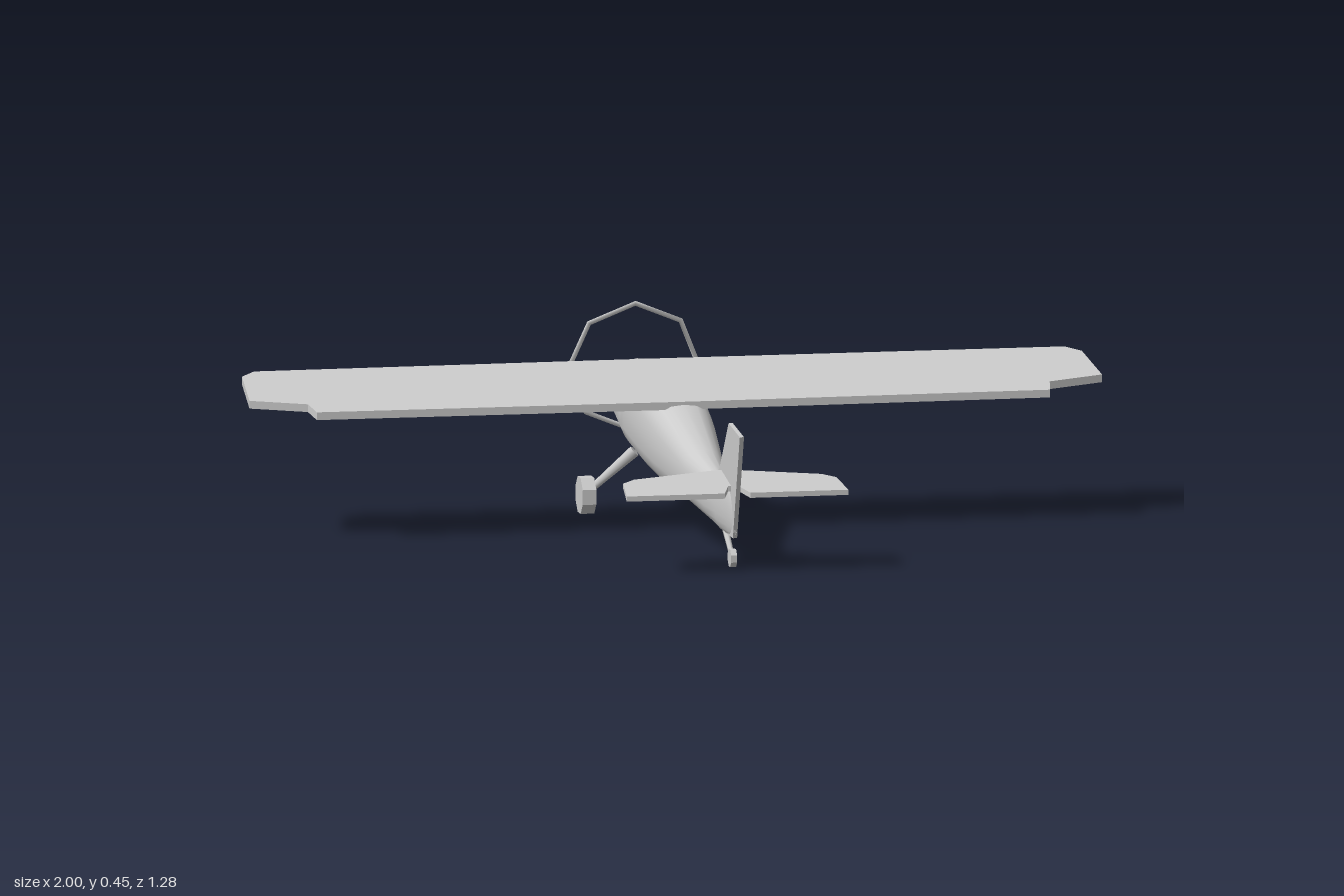
import * as THREE from 'three';

const grey = new THREE.MeshStandardMaterial({ color: 0xcccccc, side: THREE.DoubleSide });
const V = (x, y, z) => new THREE.Vector3(x, y, z);

function add(parent, name, geometry) {
  const mesh = new THREE.Mesh(geometry, grey);
  mesh.name = name;
  parent.add(mesh);
  return mesh;
}

// Smooth skin through superellipse sections [z, top, bottom, halfWidth, exponent]
function loft(sections, n = 20) {
  const pos = [], index = [];
  for (const [z, top, bottom, w, e] of sections) {
    for (let j = 0; j < n; j++) {
      const a = (j / n) * Math.PI * 2, c = Math.cos(a), s = Math.sin(a);
      pos.push(
        w * Math.sign(c) * Math.abs(c) ** (2 / e),
        (top + bottom) / 2 + ((top - bottom) / 2) * Math.sign(s) * Math.abs(s) ** (2 / e),
        z);
    }
  }
  for (let i = 0; i < sections.length - 1; i++) {
    for (let j = 0; j < n; j++) {
      const k = (j + 1) % n, a = i * n + j, b = i * n + k;
      index.push(a, b, a + n, b, b + n, a + n);
    }
  }
  const g = new THREE.BufferGeometry();
  g.setAttribute('position', new THREE.Float32BufferAttribute(pos, 3));
  g.setIndex(index);
  g.computeVertexNormals();
  return g;
}

function plate(points, thickness) {
  const shape = new THREE.Shape(points.map(([x, y]) => new THREE.Vector2(x, y)));
  return new THREE.ExtrudeGeometry(shape, { depth: thickness, bevelEnabled: false });
}

// Mirrored horizontal surface from half outline [x, z], sloping down toward the tail
function surface(half, thickness, heightAt) {
  const outline = [...half, ...half.slice().reverse().map(([x, z]) => [-x, z])]
    .filter(([x, z], i, all) => i === 0 || x !== 0 || all[i - 1][0] !== 0);
  const g = plate(outline, thickness);
  g.rotateX(Math.PI / 2).translate(0, thickness / 2, 0);
  const p = g.attributes.position;
  for (let i = 0; i < p.count; i++) p.setY(i, p.getY(i) + heightAt(p.getZ(i)));
  g.computeVertexNormals();
  return g;
}

// Tapered strut between two points
function strut(parent, name, a, b, rA, rB, sides = 6) {
  const d = b.clone().sub(a);
  const mesh = add(parent, name, new THREE.CylinderGeometry(rB, rA, d.length(), sides));
  mesh.position.copy(a).add(b).multiplyScalar(0.5);
  mesh.quaternion.setFromUnitVectors(V(0, 1, 0), d.normalize());
  return mesh;
}

function wheel(parent, name, x, y, z, r, width) {
  const g = new THREE.CylinderGeometry(r, r, width, 8).toNonIndexed();
  g.rotateX(0).rotateZ(Math.PI / 2).rotateX(Math.PI / 8);
  g.computeVertexNormals();
  add(parent, name, g).position.set(x, y, z);
}

export function createModel() {
  const plane = new THREE.Group();
  plane.name = 'airplane';

  // Body, from the cowl at -z to the tail post at +z
  add(plane, 'fuselage', loft([
    [-0.588, 0.306, 0.298, 0.004, 2],
    [-0.585, 0.322, 0.26, 0.05, 2.2],
    [-0.565, 0.328, 0.225, 0.068, 2.3],
    [-0.54, 0.328, 0.205, 0.074, 2.4],
    [-0.47, 0.325, 0.175, 0.078, 2.5],
    [-0.37, 0.317, 0.152, 0.083, 2.6],
    [-0.31, 0.362, 0.143, 0.087, 2.8],
    [-0.18, 0.335, 0.129, 0.084, 2.8],
    [-0.03, 0.301, 0.114, 0.075, 2.6],
    [0.2, 0.232, 0.103, 0.05, 2.4],
    [0.35, 0.204, 0.09, 0.033, 2.3],
    [0.43, 0.21, 0.08, 0.022, 2.2],
    [0.52, 0.195, 0.078, 0.012, 2],
    [0.57, 0.15, 0.09, 0.002, 2],
  ]));

  // Main wing
  add(plane, 'wing', surface([
    [0, -0.322], [0.95, -0.318], [0.985, -0.286], [1, -0.125],
    [0.87, -0.09], [0.86, -0.035], [0, -0.03],
  ], 0.018, (z) => 0.299 + (-0.03 - z) * 0.195));

  // Tail surfaces
  add(plane, 'tailplane', surface([
    [0, 0.425], [0.03, 0.43], [0.22, 0.475], [0.25, 0.5], [0.26, 0.59],
    [0.03, 0.59], [0.012, 0.54], [0, 0.54],
  ], 0.012, (z) => 0.214 - (z - 0.42) * 0.18));
  const fin = plate([
    [0.35, 0.195], [0.405, 0.22], [0.51, 0.34], [0.64, 0.327], [0.56, 0.08], [0.45, 0.08],
  ], 0.01);
  fin.rotateY(-Math.PI / 2).translate(0.005, 0, 0);
  add(plane, 'fin', fin);

  // Spinner and flat octagonal propeller ring, tilted with the nose
  strut(plane, 'spinner', V(0, 0.304, -0.57), V(0, 0.302, -0.635), 0.024, 0.009, 10);
  const ring = add(plane, 'propellerRing', new THREE.TorusGeometry(0.152, 0.006, 4, 8));
  ring.scale.z = 0.3;
  ring.position.set(0, 0.302, -0.615);
  ring.rotation.x = 0.16;

  // Main landing gear
  for (const [side, s] of [['left', 1], ['right', -1]]) {
    strut(plane, side + 'GearLeg', V(s * 0.055, 0.15, -0.33), V(s * 0.155, 0.055, -0.365), 0.014, 0.008);
    wheel(plane, side + 'Wheel', s * 0.162, 0.046, -0.365, 0.045, 0.032);
  }

  // Tail wheel
  strut(plane, 'tailLeg', V(0, 0.085, 0.45), V(0, 0.03, 0.53), 0.008, 0.006);
  wheel(plane, 'tailWheel', 0, 0.03, 0.53, 0.022, 0.014);

  return plane;
}
